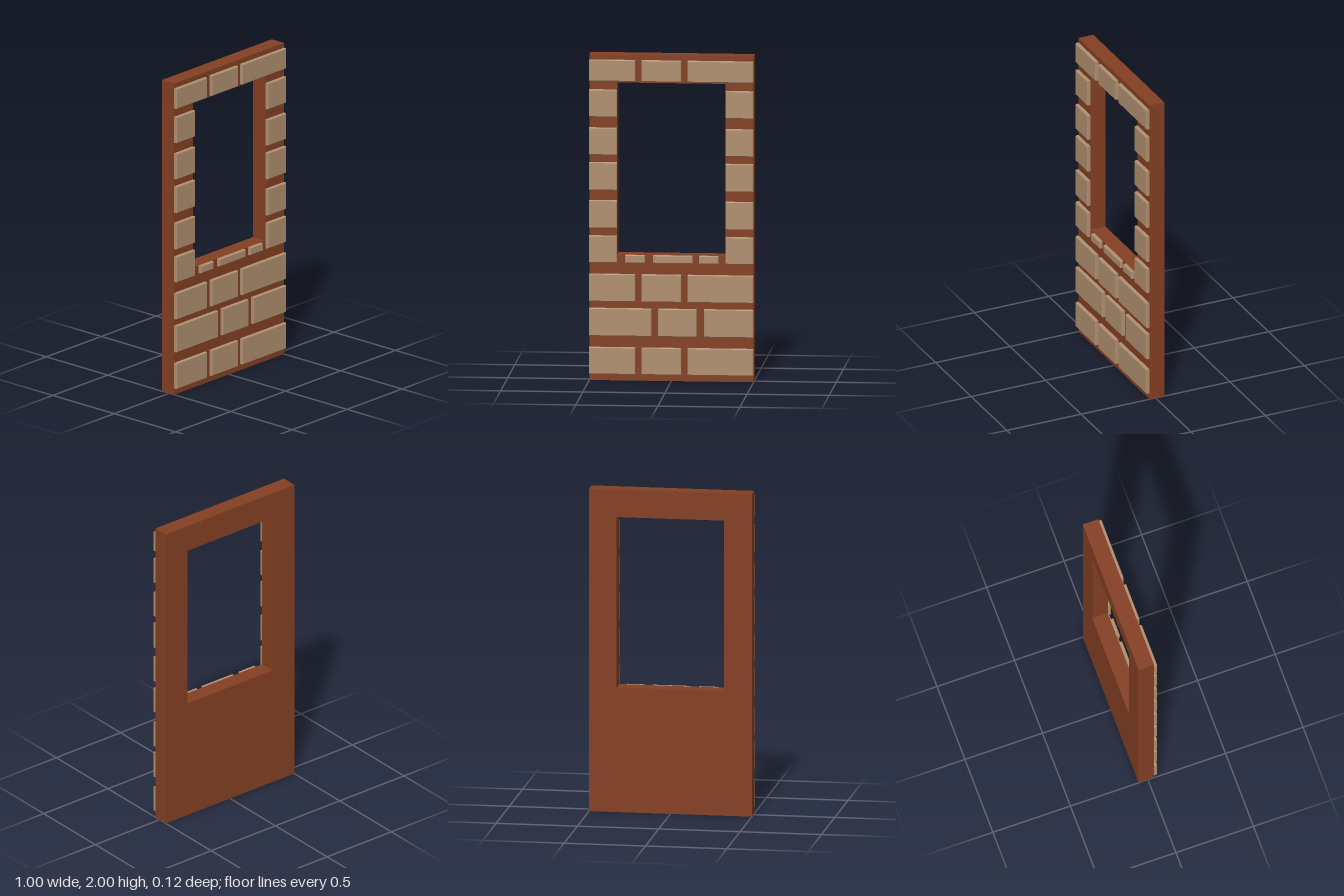
import * as THREE from 'three';

const BACK = -0.06, FACE = 0.04, FRONT = 0.061, BEVEL = 0.004;

function rect(target, x0, x1, y0, y1) {
  target.moveTo(x0, y0);
  target.lineTo(x1, y0);
  target.lineTo(x1, y1);
  target.lineTo(x0, y1);
  target.closePath();
  return target;
}

export function createModel() {
  const group = new THREE.Group();
  group.name = 'brickWindowWall';
  const mortar = new THREE.MeshStandardMaterial({ color: 0x843f22 });
  mortar.name = 'red brown mortar';
  const tan = new THREE.MeshStandardMaterial({ color: 0xb09070 });
  tan.name = 'tan brick';

  // Wall panel with the window opening
  const panel = rect(new THREE.Shape(), -0.5, 0.5, 0, 2);
  panel.holes.push(rect(new THREE.Path(), -0.33, 0.33, 0.773, 1.83));
  const wall = new THREE.Mesh(
    new THREE.ExtrudeGeometry(panel, { depth: FACE - BACK, bevelEnabled: false }), mortar);
  wall.position.z = BACK;
  wall.name = 'wall';
  group.add(wall);

  // Brick with chamfered front edges; its back chamfer is sunk into the wall
  function addBrick(name, x0, x1, y0, y1) {
    const outline = rect(new THREE.Shape(), x0 + BEVEL, x1 - BEVEL, y0 + BEVEL, y1 - BEVEL);
    const geometry = new THREE.ExtrudeGeometry(outline, {
      depth: FRONT - FACE - BEVEL, bevelSize: BEVEL, bevelThickness: BEVEL, bevelSegments: 1,
    });
    const brick = new THREE.Mesh(geometry, tan);
    brick.position.z = FACE;
    brick.name = name;
    group.add(brick);
  }

  // Courses: name, bottom, top, brick spans along x
  const wide = [[-0.5, -0.22], [-0.18, 0.06], [0.1, 0.5]];
  const offset = [[-0.5, -0.12], [-0.08, 0.155], [0.2, 0.5]];
  const jambs = [[-0.5, -0.33], [0.33, 0.5]];
  const sill = [[-0.28, -0.16], [-0.11, 0.13], [0.17, 0.287]];
  const courses = [
    ['lowerBrick', 0.04, 0.205, wide],
    ['lowerBrick', 0.275, 0.445, offset],
    ['lowerBrick', 0.487, 0.655, wide],
    ['sillBrick', 0.725, 0.773, sill],
    ['jambBrick', 0.725, 0.89, jambs],
    ['jambBrick', 0.937, 1.107, jambs],
    ['jambBrick', 1.17, 1.34, jambs],
    ['jambBrick', 1.387, 1.553, jambs],
    ['jambBrick', 1.62, 1.787, jambs],
    ['lintelBrick', 1.84, 1.97, wide],
  ];
  for (const [name, y0, y1, spans] of courses) {
    for (const [x0, x1] of spans) addBrick(name, x0, x1, y0, y1);
  }
  return group;
}
